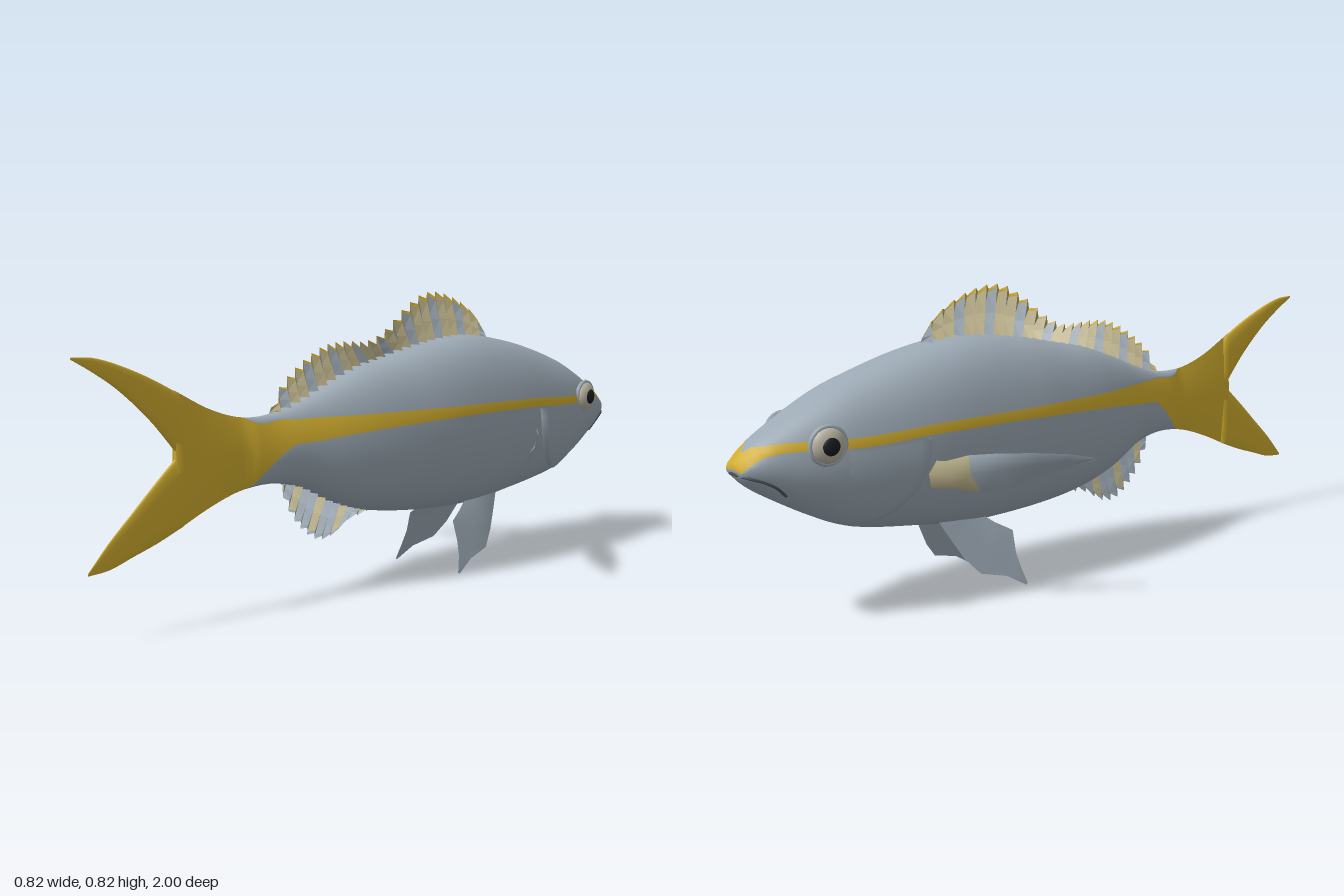
import * as THREE from 'three';

const paint = (name, color, side = THREE.FrontSide) => {
  const m = new THREE.MeshStandardMaterial({ color, side });
  m.name = name;
  return m;
};

// Smooth interpolation of column k in rows of [z, ...values]
function at(rows, z, k) {
  const n = rows.length - 1;
  z = THREE.MathUtils.clamp(z, rows[0][0], rows[n][0]);
  let i = 0;
  while (i < n - 1 && rows[i + 1][0] < z) i++;
  const slope = (a, b) => (rows[b][k] - rows[a][k]) / (rows[b][0] - rows[a][0]);
  const h = rows[i + 1][0] - rows[i][0], t = (z - rows[i][0]) / h;
  const m0 = slope(Math.max(i - 1, 0), i + 1) * h, m1 = slope(i, Math.min(i + 2, n)) * h;
  const s = t * t * (3 - 2 * t);
  return rows[i][k] * (1 - s) + rows[i + 1][k] * s
    + m0 * t * (1 - t) * (1 - t) - m1 * t * t * (1 - t);
}

// Surface from a grid of points, with a material chosen per cell
function grid(name, nu, nv, point, mats, pick = () => 0, closed = false, flat = false) {
  const w = closed ? nv : nv + 1, pos = [], sets = mats.map(() => []);
  for (let i = 0; i <= nu; i++) for (let j = 0; j < w; j++) pos.push(...point(i, j));
  for (let i = 0; i < nu; i++) for (let j = 0; j < nv; j++) {
    const k = (j + 1) % w, a = i * w + j, b = a + w, c = i * w + k, d = c + w;
    sets[pick(i, j)].push(a, b, c, b, d, c);
  }
  let geo = new THREE.BufferGeometry();
  geo.setAttribute('position', new THREE.Float32BufferAttribute(pos, 3));
  geo.setIndex(sets.flat());
  if (flat) geo = geo.toNonIndexed();
  geo.computeVertexNormals();
  let start = 0;
  sets.forEach((s, m) => { geo.addGroup(start, s.length, m); start += s.length; });
  const mesh = new THREE.Mesh(geo, mats);
  mesh.name = name;
  return mesh;
}

// Stations: z, top, bottom, half width
const BODY = [
  [-1, .44, .405, .04], [-.97, .47, .375, .06], [-.92, .505, .342, .08], [-.8, .57, .275, .12],
  [-.7, .612, .232, .14], [-.5, .668, .2, .16], [-.33, .69, .182, .163], [-.15, .672, .186, .158],
  [0, .642, .2, .14], [.1, .62, .22, .122], [.2, .585, .255, .097], [.3, .545, .305, .066],
  [.4, .515, .328, .04], [.5, .515, .322, .024], [.6, .545, .292, .016], [.71, .602, .245, .011]];
const UPPER_LOBE = [[.69, .59, .425, .011], [.78, .637, .53, .009], [.87, .675, .612, .007],
  [.94, .696, .66, .004], [1, .7, .695, .001]];
const LOWER_LOBE = [[.69, .445, .253, .011], [.77, .375, .222, .009], [.84, .31, .2, .007],
  [.91, .245, .178, .004], [.97, .18, .173, .001]];
// Stripe: z, low, high
const STRIPE = [[-1, .42, .47], [-.96, .45, .476], [-.9, .463, .485], [-.7, .46, .485], [-.5, .47, .496],
  [-.2, .47, .5], [.1, .457, .5], [.3, .437, .5], [.37, .425, .5], [.5, .3, .53], [.72, 0, 1]];

const angleAt = (rows, z, y) => {
  const t = at(rows, z, 1), b = at(rows, z, 2);
  return Math.asin(THREE.MathUtils.clamp((2 * y - t - b) / (t - b), -1, 1));
};
// Point on the flank at angle a, from -PI/2 (belly) to PI/2 (back)
const flank = (rows, z, a, side = 1, out = 0) => {
  const t = at(rows, z, 1), b = at(rows, z, 2), c = Math.max(Math.cos(a), 0);
  return [side * (at(rows, z, 3) + out) * Math.pow(c, .82), (t + b) / 2 + (t - b) / 2 * Math.sin(a), z];
};

// Closed lens-shaped loft; rows between the two stripe angles take the second material
function loft(name, rows, stripe, mats) {
  const U = 7, S = 2, L = 8, H = U + S + L, z0 = rows[0][0], z1 = rows.at(-1)[0];
  const nu = Math.round((z1 - z0) / .02);
  const lerp = THREE.MathUtils.lerp, Q = Math.PI / 2;
  const point = (i, j) => {
    if (i === 0 || i === nu + 2) {
      const z = i ? z1 : z0;
      return [0, (at(rows, z, 1) + at(rows, z, 2)) / 2, z];
    }
    const z = lerp(z0, z1, (i - 1) / nu), k = j <= H ? j : 2 * H - j;
    const hi = stripe ? angleAt(rows, z, at(stripe, z, 2)) : Q / 3;
    const lo = stripe ? angleAt(rows, z, at(stripe, z, 1)) : -Q / 3;
    const a = k <= U ? lerp(Q, hi, k / U) : k <= U + S ? lerp(hi, lo, (k - U) / S) : lerp(lo, -Q, (k - U - S) / L);
    return flank(rows, z, a, j <= H ? 1 : -1);
  };
  const pick = (i, j) => {
    const k = j < H ? j : 2 * H - 1 - j;
    return stripe && k >= U && k < U + S ? 1 : 0;
  };
  return grid(name, nu + 2, 2 * H, point, mats, pick, true);
}

// Pleated fin whose edge follows an outline of [z, y]
function pleatedFin(name, outline, baseY, n, mats, edgeDepth) {
  const z0 = outline[0][0], z1 = outline.at(-1)[0];
  const point = (i, j) => {
    const z = THREE.MathUtils.lerp(z0, z1, i / n), base = baseY(z);
    const edge = at(outline, z, 1) - (i % 2 ? edgeDepth : 0);
    const t = [0, .5, .93, 1][j];
    const rake = .035 * t * Math.sin(Math.PI * i / n);
    return [(i % 2 ? 1 : -1) * (.022 - .014 * t), base + (edge - base) * t, z + rake];
  };
  return grid(name, n, 3, point, mats, (i, j) => (j === 2 ? 2 : i % 3 === 1 ? 1 : 0), false, true);
}

export function createModel() {
  const fish = new THREE.Group();
  fish.name = 'fish';
  const D = THREE.DoubleSide;
  const skin = paint('silver skin', 0x9ca9b4, D), gold = paint('golden yellow', 0xd2ae2f, D);
  const tan = paint('fin tan', 0xbdb28a, D), dark = paint('mouth grey', 0x4a5057);
  const iris = paint('iris', 0xb9b3a2), black = paint('pupil black', 0x191b1e);

  // Body and forked tail
  fish.add(loft('body', BODY, STRIPE, [skin, gold]));
  fish.add(loft('upperTailLobe', UPPER_LOBE, null, [gold]));
  fish.add(loft('lowerTailLobe', LOWER_LOBE, null, [gold]));

  // Fins along the back and under the tail
  const dorsal = [[-.46, .675], [-.43, .73], [-.38, .775], [-.3, .812], [-.22, .818], [-.14, .775],
    [-.07, .72], [0, .69], [.08, .693], [.18, .685], [.28, .638], [.36, .58], [.39, .53]];
  fish.add(pleatedFin('dorsalFin', dorsal, z => at(BODY, z, 1) - .015, 52, [tan, skin, gold], .016));
  const anal = [[.04, .2], [.1, .185], [.14, .155], [.19, .146], [.25, .18], [.31, .235], [.37, .325]];
  fish.add(pleatedFin('analFin', anal, z => at(BODY, z, 2) + .015, 24, [skin, tan, skin], -.014));

  // Paired fins as rows of [leading edge, middle, trailing edge]
  const pectoral = [
    [[.135, .405, -.545], [.15, .37, -.54], [.14, .33, -.53]],
    [[.17, .4, -.5], [.185, .365, -.5], [.175, .325, -.475]],
    [[.21, .416, -.455], [.225, .37, -.46], [.205, .312, -.415]],
    [[.26, .421, -.395], [.262, .375, -.4], [.25, .32, -.36]],
    [[.32, .422, -.325], [.315, .39, -.315], [.3, .352, -.3]],
    [[.37, .418, -.255], [.365, .4, -.255], [.35, .378, -.25]],
    [[.412, .406, -.195], [.41, .404, -.195], [.405, .4, -.2]]];
  const pelvic = [
    [[.055, .215, -.45], [.064, .22, -.39], [.055, .215, -.32]],
    [[.072, .16, -.42], [.08, .165, -.35], [.072, .178, -.27]],
    [[.09, .1, -.385], [.098, .11, -.31], [.088, .15, -.22]],
    [[.108, .055, -.345], [.11, .06, -.28], [.105, .09, -.222]],
    [[.12, .035, -.265], [.121, .035, -.24], [.118, .05, -.215]],
    [[.13, 0, -.205], [.13, .002, -.204], [.129, .004, -.2]]];

  for (const s of [1, -1]) {
    const side = s > 0 ? 'left' : 'right';
    const fin = (name, rows, root) => fish.add(grid(side + name, rows.length - 1, 2,
      (i, j) => [s * rows[i][j][0], rows[i][j][1], rows[i][j][2]], [skin, tan], i => (i < root ? 1 : 0)));
    fin('PectoralFin', pectoral, 2);
    fin('PelvicFin', pelvic, 0);

    // Gill cover, lifting away from the head towards its rear edge
    fish.add(grid(side + 'GillCover', 9, 12, (i, j) => {
      const t = Math.min(i / 8, 1);
      const v = j / 12, rear = -.535 - .19 * v * v;
      const z = THREE.MathUtils.lerp(-.78, rear, t);
      const a = THREE.MathUtils.lerp(angleAt(BODY, z, at(STRIPE, z, 1) - .006), -1.2, v);
      return flank(BODY, z, a, s, i === 9 ? -.01 : .014 * t - .002);
    }, [skin]));

    // Eye
    const eye = new THREE.Group();
    eye.name = side + 'Eye';
    const ball = (name, r, depth, x, mat) => {
      const m = new THREE.Mesh(new THREE.SphereGeometry(r, 24, 16), mat);
      m.name = name;
      m.scale.x = depth / r;
      m.position.x = s * x;
      eye.add(m);
    };
    ball('iris', .046, .025, 0, iris);
    ball('pupil', .026, .0145, .0145, black);
    const lid = new THREE.Mesh(new THREE.TorusGeometry(.046, .007, 8, 28), skin);
    lid.name = 'eyeRim';
    lid.rotation.y = Math.PI / 2;
    eye.add(lid);
    eye.position.set(s * .116, .475, -.805);
    eye.rotation.y = s * .12;
    fish.add(eye);
  }

  // Mouth line wrapping round the snout
  const lip = [[-.895, .352], [-.92, .376], [-.95, .394], [-.985, .407]];
  const lipPoint = ([z, y], s) => new THREE.Vector3(...flank(BODY, z, angleAt(BODY, z, y), s));
  const path = new THREE.CatmullRomCurve3([...lip.map(p => lipPoint(p, 1)),
    new THREE.Vector3(0, .412, -1), ...lip.slice().reverse().map(p => lipPoint(p, -1))]);
  const mouth = new THREE.Mesh(new THREE.TubeGeometry(path, 40, .004, 6), dark);
  mouth.name = 'mouth';
  fish.add(mouth);

  return fish;
}
